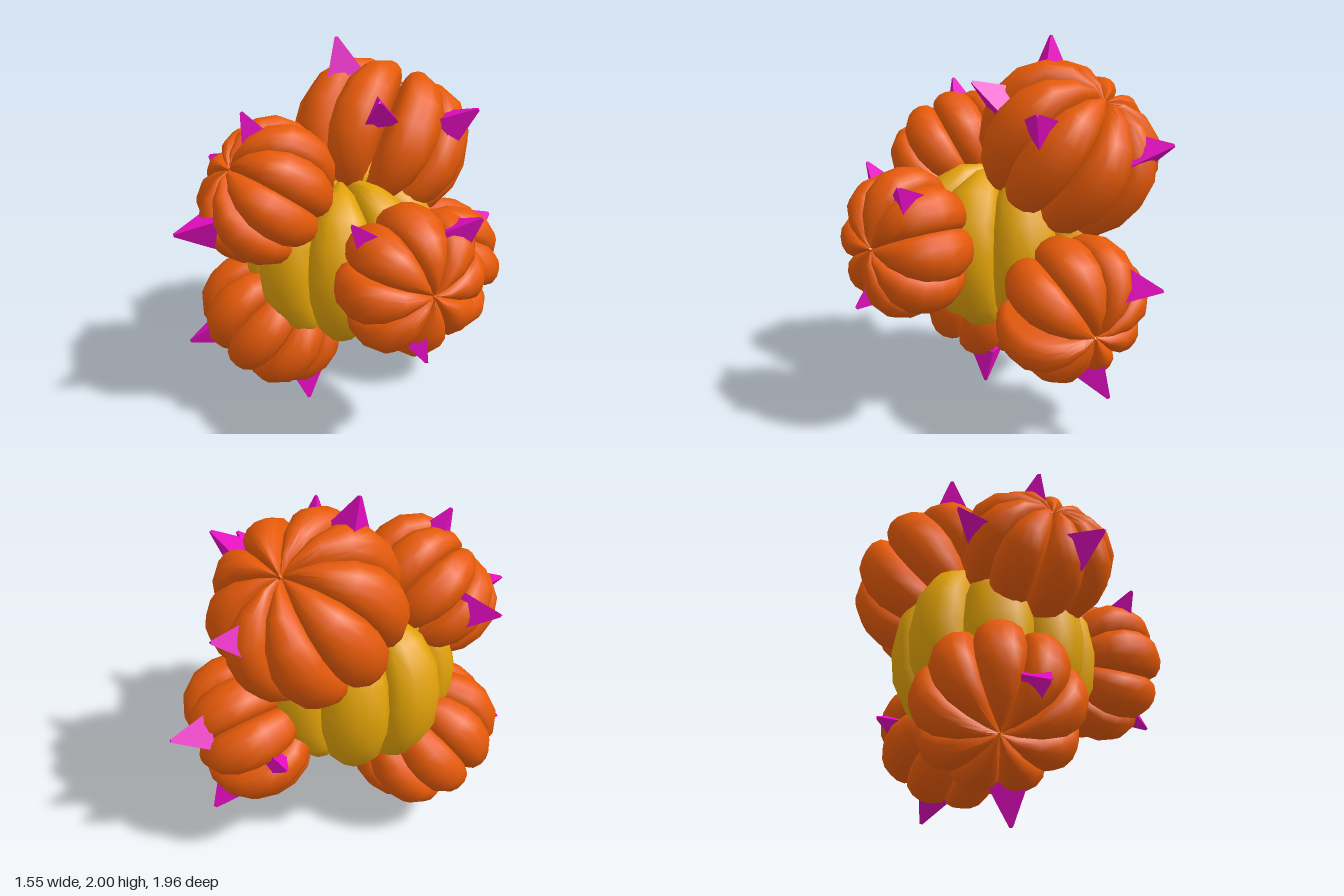
import * as THREE from 'three';
import { toCreasedNormals } from 'three/addons/utils/BufferGeometryUtils.js';

const mat = (name, color) => new THREE.MeshStandardMaterial({ name, color });
const V = (a) => new THREE.Vector3(...a);

// half-outline of a gourd (distance from axis, height) for radius 1
const PROFILE = [
  [0.03, 0.7], [0.2, 0.78], [0.48, 0.78], [0.76, 0.64], [0.94, 0.38], [1, 0.06],
  [0.97, -0.24], [0.84, -0.52], [0.62, -0.72], [0.35, -0.79], [0.15, -0.76], [0.03, -0.7],
];
// cross-section of a lobe: position across its width, scale from the centre
const SECTION = [[-1, 0.84], [-0.78, 0.93], [-0.4, 0.985], [0, 1], [0.4, 0.985], [0.78, 0.93], [1, 0.84]];

// one wedge-shaped lobe, closed at the gourd's axis
function lobeGeometry(halfAngle) {
  const pos = [], index = [], n = SECTION.length + 1;
  PROFILE.forEach(([r, h], i) => {
    for (const [u, s] of SECTION) {
      const a = u * halfAngle;
      pos.push(r * s * Math.cos(a), h * s, r * s * Math.sin(a));
    }
    pos.push(0, h * 0.84, 0);
    if (i === 0) return;
    for (let j = 0; j < n; j++) {
      const k = (j + 1) % n, a = (i - 1) * n, b = i * n;
      index.push(a + j, a + k, b + j, a + k, b + k, b + j);
    }
  });
  const g = new THREE.BufferGeometry();
  g.setAttribute('position', new THREE.Float32BufferAttribute(pos, 3));
  g.setIndex(index);
  return toCreasedNormals(g, 0.85);
}

// ring of lobes around an axis, with an optional open slot facing "slot"
function gourd(name, { centre, radius, flat, axis, slot, gap = 0, lobes }, material) {
  const group = new THREE.Group();
  group.name = name;
  const step = (Math.PI * 2 - gap) / lobes;
  const geo = lobeGeometry(step / 2);
  for (let i = 0; i < lobes; i++) {
    const lobe = new THREE.Mesh(geo, material);
    lobe.name = 'lobe';
    lobe.rotation.y = -(gap / 2 + step * (i + 0.5));
    group.add(lobe);
  }
  const y = V(axis).normalize();
  const x = V(slot).addScaledVector(y, -V(slot).dot(y)).normalize();
  const z = new THREE.Vector3().crossVectors(x, y);
  group.quaternion.setFromRotationMatrix(new THREE.Matrix4().makeBasis(x, y, z));
  group.position.copy(V(centre));
  group.scale.set(radius, radius * flat, radius);
  return group;
}

// three-sided thorn standing square on the flattened gourd below its tip
function thorn(tip, { centre, axis }, geo, material) {
  const dir = V(tip).sub(V(centre));
  const up = V(axis).normalize();
  dir.addScaledVector(up, 0.6 * dir.dot(up)).normalize();
  const mesh = new THREE.Mesh(geo, material);
  mesh.name = 'thorn';
  mesh.quaternion.setFromUnitVectors(new THREE.Vector3(0, 1, 0), dir);
  mesh.position.copy(V(tip));
  return mesh;
}

export function createModel() {
  const model = new THREE.Group();
  model.name = 'gourdCluster';
  const yellow = mat('golden rind', 0xe2a208);
  const orange = mat('orange rind', 0xe65a08);
  const magenta = mat('magenta thorn', 0xe40cc0);

  // central gourd
  model.add(gourd('coreGourd', {
    centre: [-0.15, 0.91, 0.06], radius: 0.52, flat: 1.05, axis: [0, 1, 0], slot: [-0.22, 0, 1], lobes: 8,
  }, yellow));

  // outer gourds, each growing out from the core, with the tips of their thorns
  const outer = {
    upperFrontGourd: {
      centre: [-0.21, 1.32, 0.47], radius: 0.39, flat: 0.88, axis: [-0.2, 0.62, 0.76],
      slot: [0.32, -1, 0], lobes: 9,
      tips: [[-0.26, 1.74, 0.56], [-0.24, 1.21, 0.98], [-0.72, 1.37, 0.51]],
    },
    upperBackGourd: {
      centre: [-0.24, 1.44, -0.28], radius: 0.485, flat: 0.95, axis: [-0.18, 0.8, -0.58],
      slot: [1, 0, 1], gap: 0.1, lobes: 9,
      tips: [[-0.35, 2, -0.07], [-0.34, 1.51, -0.85], [0.28, 1.69, -0.5], [0.15, 1.79, 0.03]],
    },
    sideGourd: {
      centre: [0.52, 1.02, 0.13], radius: 0.385, flat: 0.82, axis: [1, 0.03, 0.12],
      slot: [0, 1, 0.414], lobes: 8,
      tips: [[0.77, 1.37, -0.09], [0.78, 0.72, 0.23], [0.49, 1.38, 0.45]],
    },
    lowerFrontGourd: {
      centre: [-0.365, 0.51, 0.37], radius: 0.415, flat: 0.85, axis: [-0.36, -0.77, 0.51],
      slot: [-1, 0, 0], lobes: 9,
      tips: [[-0.2, 0, 0.26], [-0.46, 0.46, 0.84]],
    },
    lowerBackGourd: {
      centre: [0, 0.69, -0.5], radius: 0.4, flat: 0.88, axis: [0.3, -0.35, -0.88],
      slot: [1, 0, 0.3], gap: 0.3, lobes: 8,
      tips: [[-0.09, 0.86, -0.98], [-0.02, 0.26, -0.74], [-0.45, 0.72, -0.55]],
    },
  };

  // thorn with its tip at the origin and a slightly blunted point
  const thornGeo = new THREE.CylinderGeometry(0.01, 0.115, 0.2, 3).toNonIndexed();
  thornGeo.translate(0, -0.1, 0);
  thornGeo.computeVertexNormals();

  for (const [name, part] of Object.entries(outer)) {
    model.add(gourd(name, part, orange));
    for (const tip of part.tips) model.add(thorn(tip, part, thornGeo, magenta));
  }
  return model;
}
